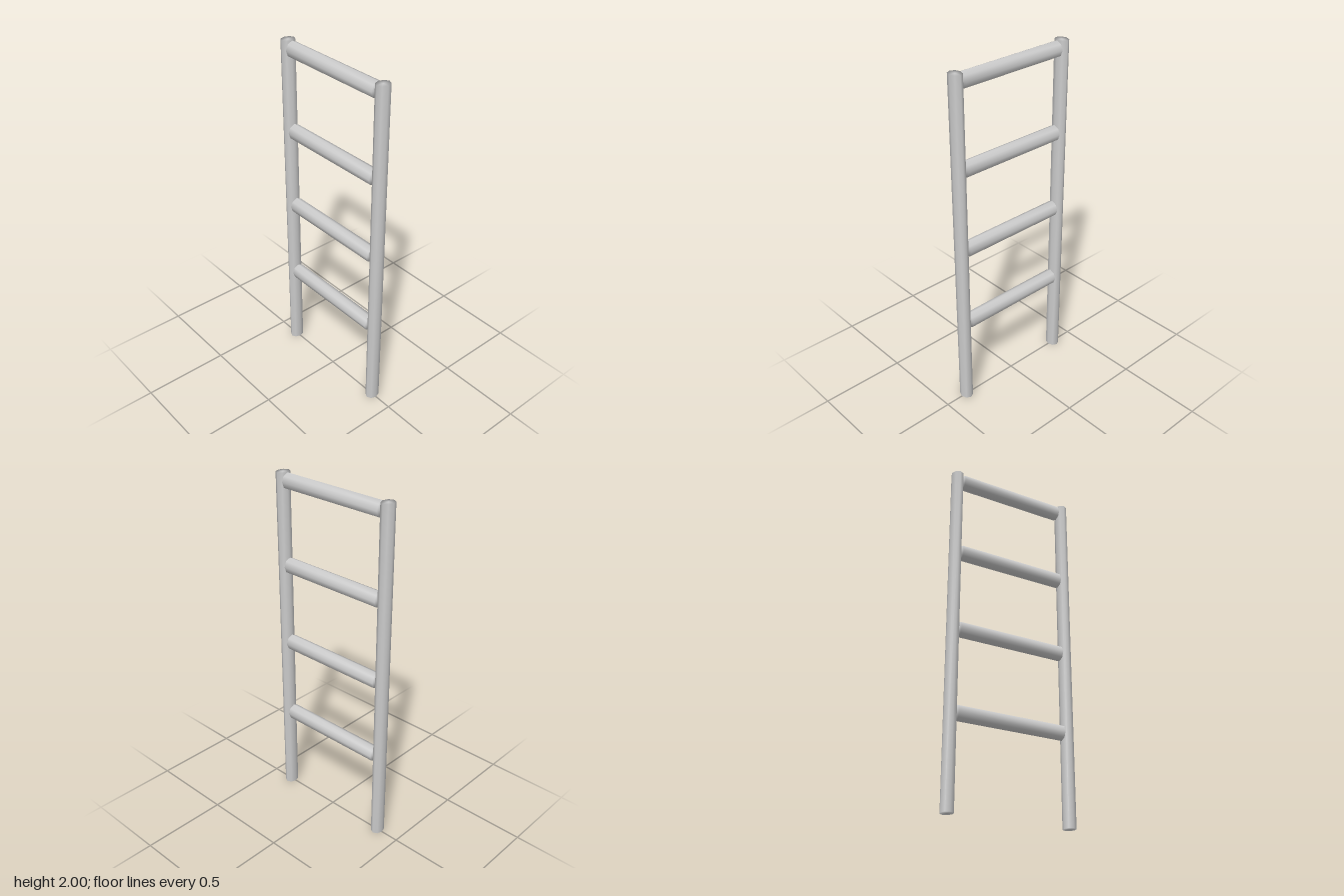
import * as THREE from 'three';
import { mergeVertices } from 'three/addons/utils/BufferGeometryUtils.js';

const material = new THREE.MeshStandardMaterial({ color: 0xcccccc });

// Eight-sided pole along y with normals shared between sides and caps
function poleGeometry(rx, rz, length) {
  const pole = new THREE.CylinderGeometry(1, 1, length, 8);
  pole.scale(rx, 1, rz);
  pole.deleteAttribute('normal');
  pole.deleteAttribute('uv');
  const merged = mergeVertices(pole, 1e-4);
  merged.computeVertexNormals();
  return merged;
}

export function createModel() {
  const ladder = new THREE.Group();
  ladder.name = 'ladder';

  function add(name, geometry, x, y) {
    const mesh = new THREE.Mesh(geometry, material);
    mesh.name = name;
    mesh.position.set(x, y, 0);
    ladder.add(mesh);
  }

  // Two upright side rails
  const rail = poleGeometry(0.035, 0.042, 2);
  add('leftRail', rail, 0.358, 1);
  add('rightRail', rail, -0.358, 1);

  // Four evenly spaced rungs, the last one level with the rail tops
  const rung = poleGeometry(0.045, 0.042, 0.646).rotateZ(Math.PI / 2);
  for (let i = 0; i < 4; i++) add(`rung${i + 1}`, rung, 0, 0.525 + i * 0.4767);

  return ladder;
}
